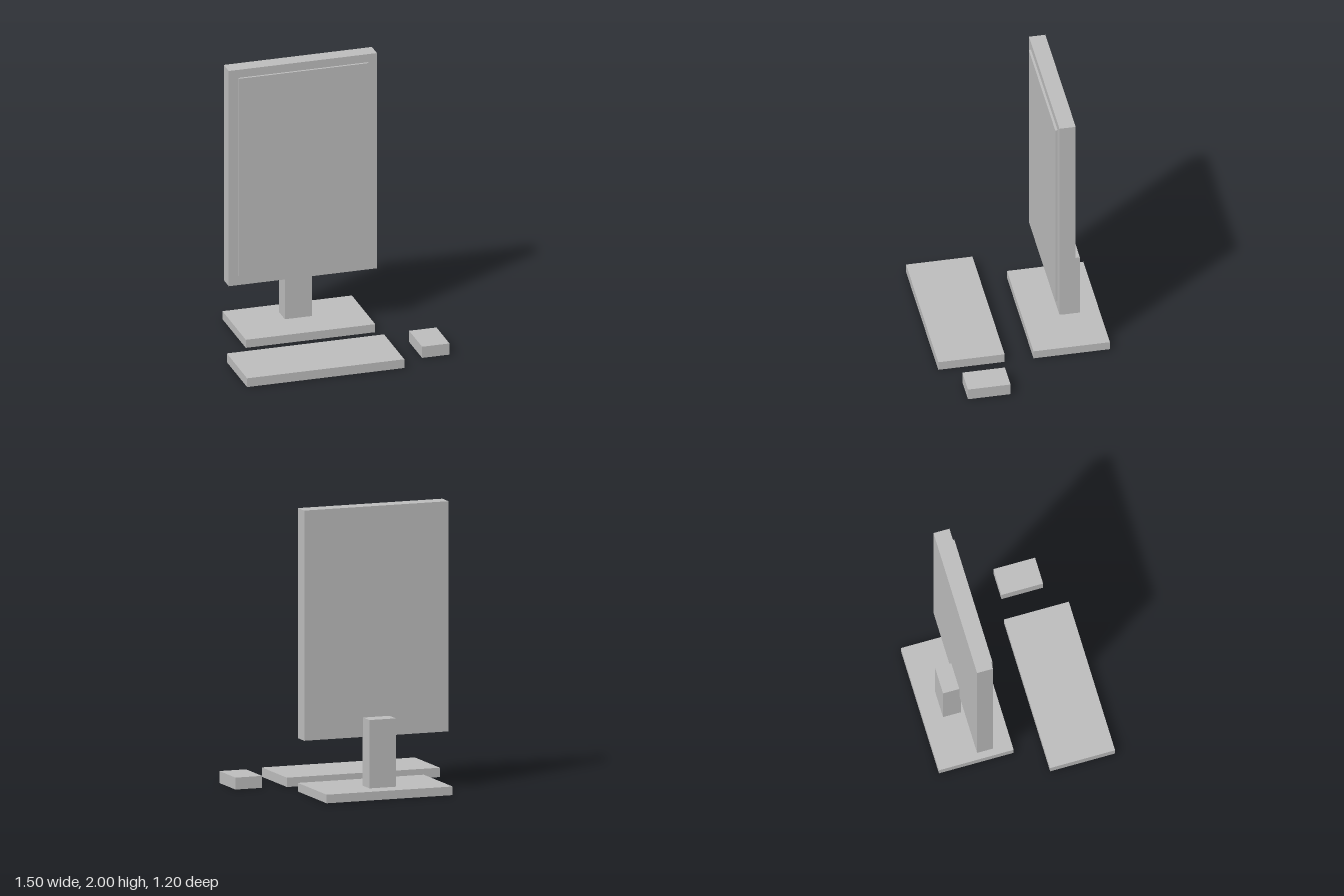
import * as THREE from 'three';

export function createModel() {
  const group = new THREE.Group();
  const grey = new THREE.MeshStandardMaterial({ color: 0xbebebe });
  grey.name = 'light grey';

  // Box given by its lower and upper limits on each axis
  function addBox(name, [x0, x1], [y0, y1], [z0, z1]) {
    const mesh = new THREE.Mesh(new THREE.BoxGeometry(x1 - x0, y1 - y0, z1 - z0), grey);
    mesh.position.set((x0 + x1) / 2, (y0 + y1) / 2, (z0 + z1) / 2);
    mesh.name = name;
    group.add(mesh);
  }

  // Upright display on its stand
  addBox('displayHousing', [-0.62, 0.445], [0.4, 2], [-0.348, -0.234]);
  addBox('screen', [-0.55, 0.38], [0.47, 1.94], [-0.234, -0.218]);
  addBox('standColumn', [-0.185, 0.01], [0.06, 0.535], [-0.464, -0.334]);
  addBox('standBase', [-0.55, 0.38], [0, 0.06], [-0.6, -0.066]);

  // Desk accessories in front
  addBox('keyboard', [-0.75, 0.38], [0, 0.065], [0.136, 0.6]);
  addBox('mouse', [0.55, 0.747], [0, 0.083], [0.168, 0.466]);

  return group;
}
